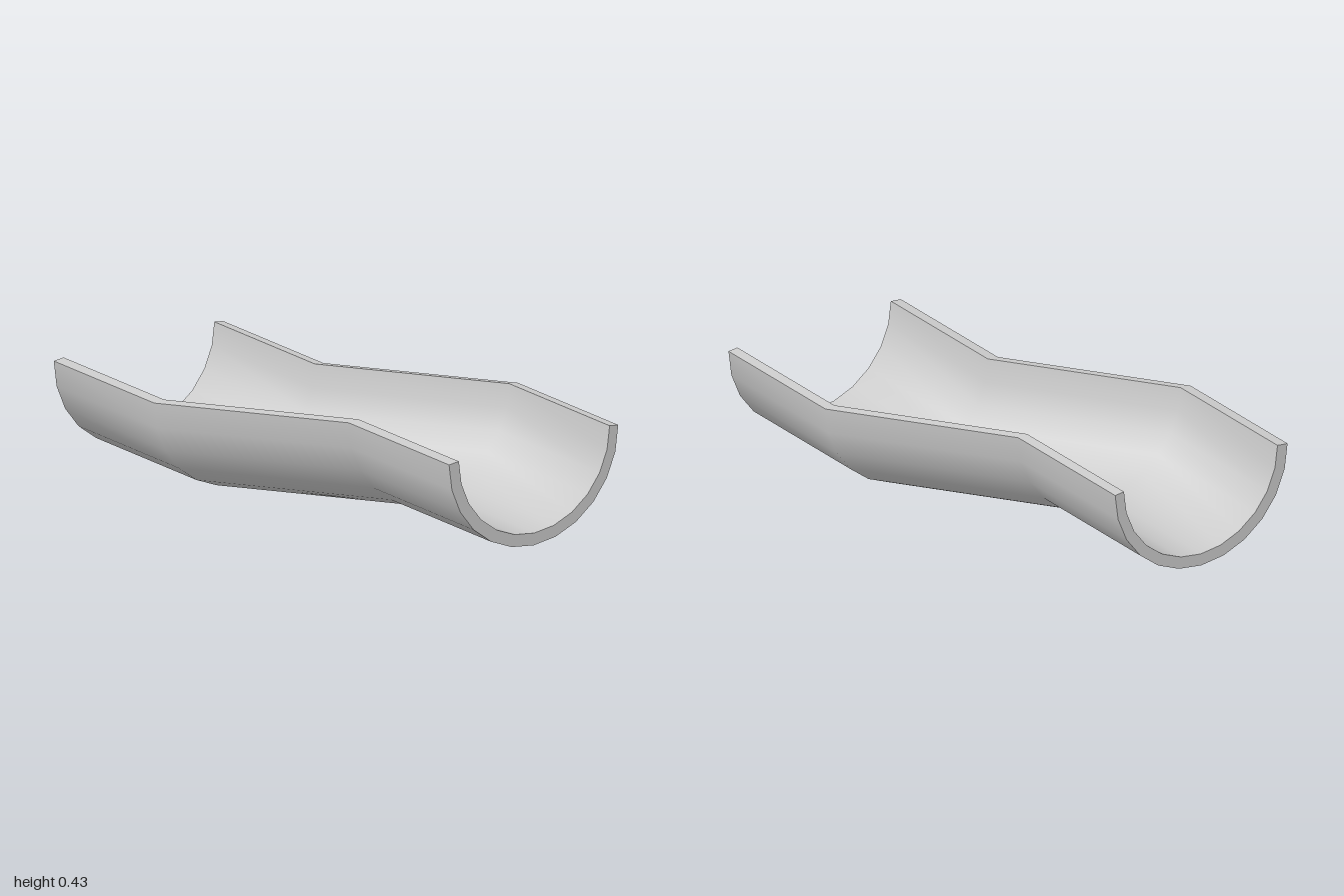
import * as THREE from 'three';
import { toCreasedNormals } from 'three/addons/utils/BufferGeometryUtils.js';

const SEGMENTS = 12;

// Half-circle of points from the left rim, under the bottom, to the right rim
function arc(radius, centreX, centreY) {
  return Array.from({ length: SEGMENTS + 1 }, (_, i) => {
    const a = Math.PI * (1 + i / SEGMENTS);
    return [centreX + radius * Math.cos(a), centreY + radius * Math.sin(a)];
  });
}

export function createModel() {
  const group = new THREE.Group();
  group.name = 'offsetGutter';

  // U-shaped section; the rim slopes slightly down to the outside
  const outer = arc(0.422, 0, 0.422);
  const inner = arc(0.376, 0.003, 0.427);
  const ring = [...outer, ...inner.slice().reverse()];
  const n = ring.length;

  // Section offsets along the channel: straight, slanted, straight
  const stations = [[-0.235, -1], [-0.235, -0.333], [0.235, 0.333], [0.235, 1]];
  const at = (s, i) => {
    const [x, z] = stations[s];
    const p = ring[i % n];
    return [p[0] + x, p[1], z];
  };

  const positions = [];
  const quad = (a, b, c, d) => positions.push(...a, ...b, ...c, ...a, ...c, ...d);

  // Inner and outer walls and rims
  for (let s = 0; s < stations.length - 1; s++) {
    for (let i = 0; i < n; i++) quad(at(s, i), at(s, i + 1), at(s + 1, i + 1), at(s + 1, i));
  }

  // End faces
  const last = stations.length - 1;
  for (let i = 0; i < SEGMENTS; i++) {
    const corners = [i, i + 1, n - 2 - i, n - 1 - i];
    quad(...corners.map((k) => at(last, k)));
    quad(...corners.reverse().map((k) => at(0, k)));
  }

  const geometry = new THREE.BufferGeometry();
  geometry.setAttribute('position', new THREE.Float32BufferAttribute(positions, 3));
  const channel = new THREE.Mesh(
    toCreasedNormals(geometry, THREE.MathUtils.degToRad(40)),
    new THREE.MeshStandardMaterial({ color: 0xcccccc })
  );
  channel.name = 'channel';
  group.add(channel);
  return group;
}
